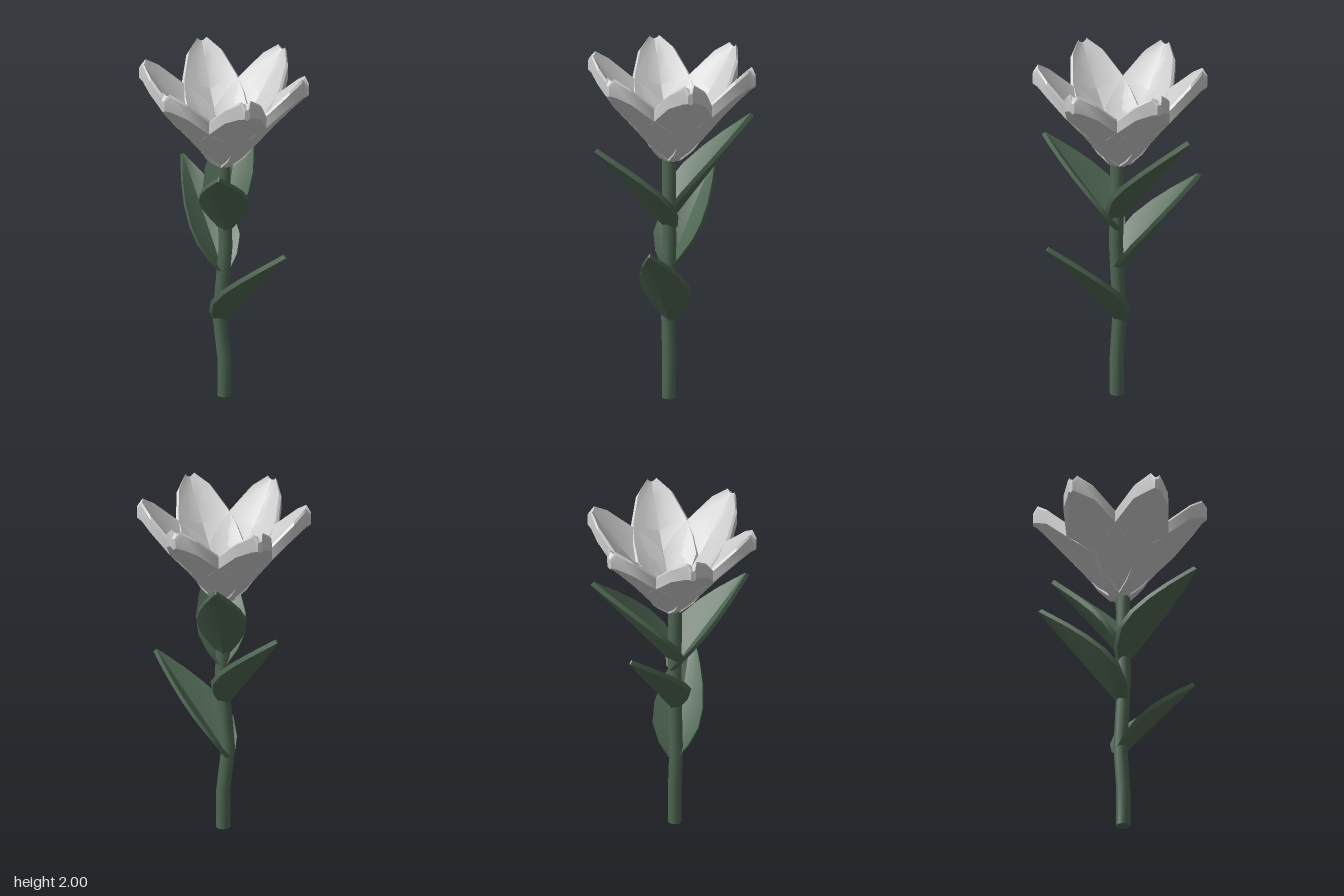
import * as THREE from 'three';
import { toCreasedNormals } from 'three/addons/utils/BufferGeometryUtils.js';

const petalMaterial = new THREE.MeshStandardMaterial({ color: 0xcccccc });
const greenMaterial = new THREE.MeshStandardMaterial({ color: 0x4f6653 });
const V = (x, y, z) => new THREE.Vector3(x, y, z);

// Skins a row of closed rings (counter-clockwise seen from the far end) and caps both ends.
function loft(rings, crease) {
  const n = rings[0].length;
  const points = rings.flat();
  const index = [];
  for (let i = 0; i < rings.length - 1; i++) {
    for (let j = 0; j < n; j++) {
      const a = i * n + j, b = i * n + (j + 1) % n;
      index.push(a, b, b + n, a, b + n, a + n);
    }
  }
  [rings[0], rings[rings.length - 1]].forEach((ring, end) => {
    const c = points.length;
    const start = end ? (rings.length - 1) * n : 0;
    points.push(ring.reduce((s, p) => s.add(p), V(0, 0, 0)).divideScalar(n));
    for (let j = 0; j < n; j++) {
      const a = start + j, b = start + (j + 1) % n;
      index.push(c, end ? a : b, end ? b : a);
    }
  });
  const geometry = new THREE.BufferGeometry().setFromPoints(points);
  geometry.setIndex(index);
  return toCreasedNormals(geometry, crease);
}

// Thick folded petal pointing along +x, with a narrow bevel around the upper rim.
function petalGeometry() {
  // radius, half width, inner middle y, inner edge y, outer middle y, outer edge y
  const stations = [
    [0, 0.07, 1.45, 1.47, 1.40, 1.42],
    [0.05, 0.12, 1.50, 1.57, 1.41, 1.48],
    [0.11, 0.185, 1.56, 1.69, 1.46, 1.60],
    [0.20, 0.185, 1.66, 1.76, 1.57, 1.67],
    [0.29, 0.167, 1.76, 1.83, 1.68, 1.74],
    [0.407, 0.108, 1.90, 1.945, 1.81, 1.85],
    [0.465, 0.038, 1.98, 2.0, 1.87, 1.89],
    [0.493, 0.014, 1.955, 1.96, 1.89, 1.90],
  ];
  const rings = stations.map(([r, w, im, ie, om, oe]) => {
    const rim = w - Math.min(0.016, w * 0.3);
    const h = w * 0.5;
    const iq = im + (ie - im) * 0.42, oq = om + (oe - om) * 0.42;
    return [
      [-w, ie - 0.018], [-rim, ie], [-h, iq], [0, im], [h, iq], [rim, ie], [w, ie - 0.018],
      [w, oe], [h, oq], [0, om], [-h, oq], [-w, oe],
    ].map(([z, y]) => V(r, y, z));
  });
  return loft(rings, 0.45);
}

// Pointed leaf with a V fold, from its foot on the stem to its tip.
function leafGeometry(foot, tip) {
  const along = tip.clone().sub(foot).normalize();
  const side = along.clone().cross(V(0, 1, 0)).normalize();
  const up = side.clone().cross(along);
  const thick = 0.026;
  // position along the leaf, half width, edge lift
  const stations = [
    [0, 0.025, 0.03], [0.1, 0.085, 0.065], [0.24, 0.132, 0.085], [0.4, 0.14, 0.08],
    [0.58, 0.118, 0.06], [0.76, 0.077, 0.035], [0.9, 0.036, 0.014], [1, 0.004, 0],
  ];
  const rings = stations.map(([t, w, lift]) => {
    const mid = foot.clone().lerp(tip, t);
    return [
      [-w, lift + thick], [-w / 2, lift * 0.4 + thick], [0, thick], [w / 2, lift * 0.4 + thick],
      [w, lift + thick], [w, lift], [w / 2, lift * 0.4], [0, 0], [-w / 2, lift * 0.4], [-w, lift],
    ].map(([s, u]) => mid.clone().addScaledVector(side, s).addScaledVector(up, u));
  });
  return loft(rings, 0.6);
}

// Round stem with slight kinks.
function stemGeometry() {
  const path = [[0.006, 0], [0.006, 0.23], [-0.022, 0.48], [0.014, 0.92], [0.004, 1.2], [0, 1.47]];
  const sides = 12, radius = 0.04;
  const rings = path.map(([x, y]) => Array.from({ length: sides }, (_, i) => {
    const a = (i / sides) * Math.PI * 2;
    return V(x + radius * Math.sin(a), y, 0.018 + radius * Math.cos(a));
  }));
  return loft(rings, 0.7);
}

export function createModel() {
  const flower = new THREE.Group();
  flower.name = 'flower';
  const add = (parent, name, geometry, material) => {
    const mesh = new THREE.Mesh(geometry, material);
    mesh.name = name;
    parent.add(mesh);
    return mesh;
  };

  add(flower, 'stem', stemGeometry(), greenMaterial);

  // Four leaves spiralling up the stem
  const leaves = [
    ['lowerLeftLeaf', V(-0.01, 0.42, 0.01), V(0.42, 0.975, 0.225)],
    ['backRightLeaf', V(-0.01, 0.74, 0.01), V(-0.335, 1.295, -0.33)],
    ['frontLeaf', V(0.012, 0.985, 0.02), V(0.088, 1.515, 0.468)],
    ['backLeaf', V(0.005, 1.03, 0.02), V(0.003, 1.64, -0.472)],
  ];
  for (const [name, foot, tip] of leaves) add(flower, name, leafGeometry(foot, tip), greenMaterial);

  // Ring of six petals
  const blossom = new THREE.Group();
  blossom.name = 'blossom';
  const petal = petalGeometry();
  for (let i = 0; i < 6; i++) {
    add(blossom, `petal${i + 1}`, petal, petalMaterial).rotation.y = (i * Math.PI) / 3;
  }
  flower.add(blossom);
  return flower;
}
